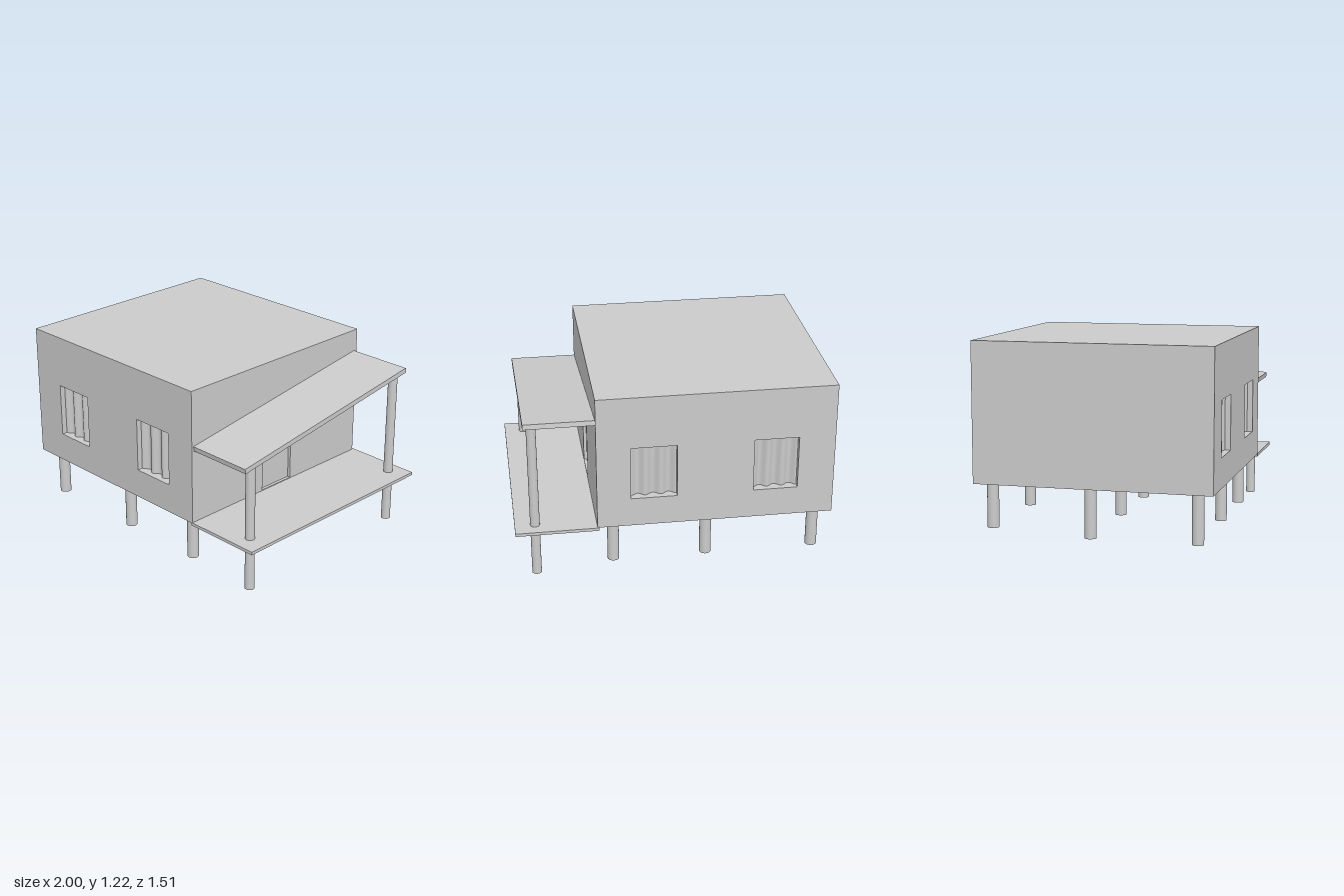
import * as THREE from 'three';

const material = new THREE.MeshStandardMaterial({ color: 0xcccccc });
const clothMaterial = new THREE.MeshStandardMaterial({ color: 0xcccccc, side: THREE.DoubleSide });

// House extents and openings
const X0 = -1, X1 = 0.49, Y0 = 0.34, Y1 = 1.22, Z0 = -0.745, Z1 = 0.755;
const WALL = 0.07, DOOR_DEPTH = 0.03;
const WINDOWS = [[-0.77, -0.49], [-0.01, 0.28]];
const SILL = 0.53, HEAD = 0.88;

function add(parent, name, geometry, x = 0, y = 0, z = 0, mat = material) {
  const mesh = new THREE.Mesh(geometry, mat);
  mesh.name = name;
  mesh.position.set(x, y, z);
  parent.add(mesh);
  return mesh;
}

// Box given by its minimum and maximum corners
function addBox(parent, name, [x0, y0, z0], [x1, y1, z1]) {
  return add(parent, name, new THREE.BoxGeometry(x1 - x0, y1 - y0, z1 - z0),
    (x0 + x1) / 2, (y0 + y1) / 2, (z0 + z1) / 2);
}

// Upright round post between two heights
function addPost(parent, name, radius, x, z, bottom, top) {
  return add(parent, name, new THREE.CylinderGeometry(radius, radius, top - bottom, 24),
    x, (bottom + top) / 2, z);
}

function rectangle(target, u0, v0, u1, v1) {
  target.moveTo(u0, v0);
  target.lineTo(u1, v0);
  target.lineTo(u1, v1);
  target.lineTo(u0, v1);
  target.closePath();
  return target;
}

// Flat wall with rectangular openings, extruded along +z
function wallGeometry(outline, openings, depth) {
  const shape = rectangle(new THREE.Shape(), ...outline);
  for (const o of openings) shape.holes.push(rectangle(new THREE.Path(), ...o));
  return new THREE.ExtrudeGeometry(shape, { depth, bevelEnabled: false });
}

// Hanging cloth with three vertical folds
function curtainGeometry(width, height) {
  const g = new THREE.PlaneGeometry(width, height, 36, 1);
  const p = g.attributes.position;
  for (let i = 0; i < p.count; i++) {
    p.setZ(i, 0.014 * Math.cos((p.getX(i) / width + 0.5) * Math.PI * 6));
  }
  g.computeVertexNormals();
  return g;
}

export function createModel() {
  const model = new THREE.Group();
  model.name = 'stiltHouse';

  // House body: solid core faced with pierced walls
  const house = new THREE.Group();
  house.name = 'house';
  model.add(house);
  addBox(house, 'houseCore', [X0, Y0, Z0 + WALL], [X1 - DOOR_DEPTH, Y1, Z1 - WALL]);

  const openings = WINDOWS.map(([a, b]) => [a, SILL, b, HEAD]);
  const longWall = wallGeometry([X0, Y0, X1, Y1], openings, WALL);
  add(house, 'frontWall', longWall, 0, 0, Z1 - WALL);
  add(house, 'backWall', longWall, 0, 0, Z0);

  // Wall facing the porch, with the shallow door recess
  const doorWall = wallGeometry([-(Z1 - WALL), Y0, -(Z0 + WALL), Y1],
    [[-0.14, 0.35, 0.12, 0.75]], DOOR_DEPTH);
  add(house, 'doorWall', doorWall, X1 - DOOR_DEPTH).rotation.y = Math.PI / 2;
  addBox(house, 'door', [X1 - DOOR_DEPTH - 0.01, 0.35, -0.12], [X1 - 0.02, 0.75, 0.14]);

  // Curtains inside the front and back window recesses
  for (const [a, b] of WINDOWS) {
    const cloth = curtainGeometry(b - a, HEAD - SILL);
    const x = (a + b) / 2, y = (SILL + HEAD) / 2;
    add(house, 'frontCurtain', cloth, x, y, Z1 - 0.05, clothMaterial);
    add(house, 'backCurtain', cloth, x, y, Z0 + 0.05, clothMaterial).rotation.y = Math.PI;
  }

  // Three rows of stilts; the back row is shorter and slightly offset
  const stilts = new THREE.Group();
  stilts.name = 'stilts';
  model.add(stilts);
  const rows = [
    { z: 0.645, bottom: 0.025, shift: 0 },
    { z: -0.022, bottom: 0.025, shift: 0 },
    { z: -0.652, bottom: 0.055, shift: 0.01 },
  ];
  for (const { z, bottom, shift } of rows) {
    for (const x of [-0.91, -0.215, 0.375]) {
      addPost(stilts, 'stilt', 0.037, x + shift, z, bottom, Y0 + 0.01);
    }
  }

  // Porch: deck, two tall posts and a sloping roof
  const porch = new THREE.Group();
  porch.name = 'porch';
  model.add(porch);
  addBox(porch, 'deck', [0.48, 0.325, -0.757], [1, 0.345, 0.757]);
  addPost(porch, 'frontPorchPost', 0.03, 0.873, 0.643, 0, 0.847);
  addPost(porch, 'backPorchPost', 0.03, 0.873, -0.66, 0, 1.04);
  const roof = add(porch, 'porchRoof', new THREE.BoxGeometry(0.437, 0.032, 1.478),
    0.7065, 0.95, 0.008);
  roof.rotation.x = Math.atan2(0.217, 1.46);

  return model;
}
